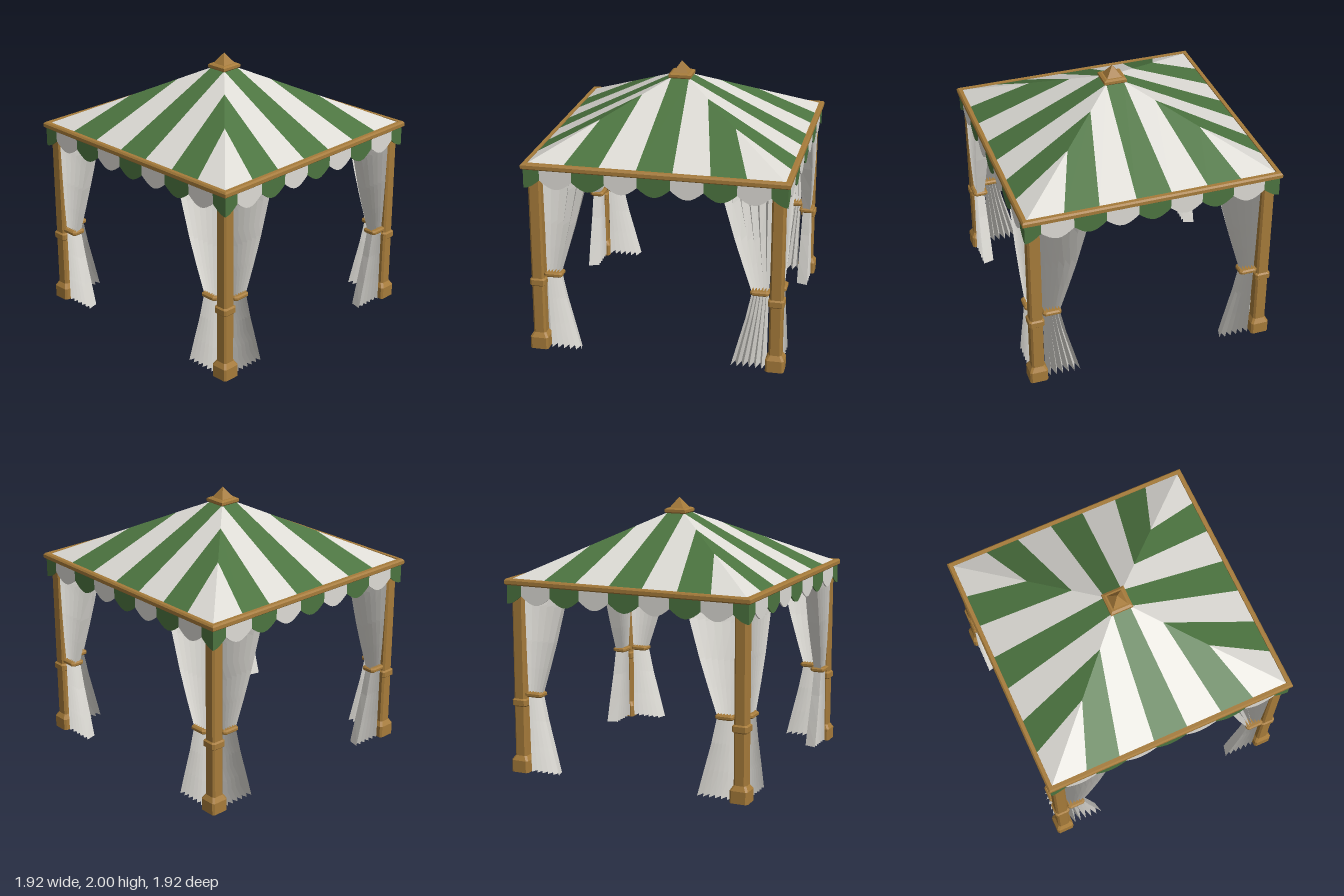
import * as THREE from 'three';

const mat = (name, color, side = THREE.FrontSide) => {
  const m = new THREE.MeshStandardMaterial({ color, side });
  m.name = name;
  return m;
};

// Flat-shaded geometry from a list of quads (each four [x, y, z] corners)
function fromQuads(quads) {
  const pos = [];
  for (const [a, b, c, d] of quads) pos.push(...a, ...b, ...c, ...a, ...c, ...d);
  const g = new THREE.BufferGeometry();
  g.setAttribute('position', new THREE.Float32BufferAttribute(pos, 3));
  g.computeVertexNormals();
  return g;
}

// Stack of rectangular rings [y, halfX, halfZ] with optional corner chamfer
function loft(rings, chamfer = 0) {
  const loops = rings.map(([y, hx, hz = hx]) => {
    const c = Math.min(chamfer, hx, hz);
    const pts = chamfer
      ? [[hx, hz - c], [hx - c, hz], [c - hx, hz], [-hx, hz - c],
         [-hx, c - hz], [c - hx, -hz], [hx - c, -hz], [hx, c - hz]]
      : [[hx, hz], [-hx, hz], [-hx, -hz], [hx, -hz]];
    return pts.map(([x, z]) => [x, y, z]);
  });
  const quads = [];
  for (let i = 0; i < loops.length - 1; i++) {
    const lo = loops[i], hi = loops[i + 1], n = lo.length;
    for (let j = 0; j < n; j++) {
      const k = (j + 1) % n;
      quads.push([lo[j], hi[j], hi[k], lo[k]]);
    }
  }
  return fromQuads(quads);
}

export function createModel() {
  const model = new THREE.Group();
  model.name = 'stripedPavilion';
  const wood = mat('wood', 0xa67b3a);
  const green = mat('greenCloth', 0x4c7440, THREE.DoubleSide);
  const white = mat('whiteCloth', 0xdddbd5, THREE.DoubleSide);

  const add = (parent, name, geometry, material) => {
    const mesh = new THREE.Mesh(geometry, material);
    mesh.name = name;
    parent.add(mesh);
    return mesh;
  };

  // Posts with plinth and collar
  const postGeo = loft([
    [0, 0], [0, 0.068], [0.09, 0.068], [0.125, 0.047], [0.5, 0.047],
    [0.51, 0.058], [0.55, 0.058], [0.56, 0.047], [1.43, 0.047], [1.43, 0],
  ], 0.014);
  for (const x of [-1, 1]) for (const z of [-1, 1]) {
    add(model, 'post', postGeo, wood).position.set(x * 0.876, 0, z * 0.876);
  }

  // Eaves frame: a closed moulding swept round the square
  add(model, 'eavesFrame', loft([
    [1.41, 0.915], [1.41, 0.947], [1.42, 0.96], [1.445, 0.96],
    [1.457, 0.95], [1.457, 0.923], [1.41, 0.915],
  ]), wood);

  // Finial cap and point
  add(model, 'finial', loft([
    [1.88, 0], [1.88, 0.075], [1.89, 0.085], [1.91, 0.085], [1.92, 0.068],
    [1.92, 0.056], [2, 0],
  ]), wood);

  // Roof stripes narrow upward and stop at the hips
  const EAVE = 0.922, TAPER = 0.57;
  const roofY = (s) => 1.92 - 0.51 * s;
  const hip = (a) => {
    const m = Math.abs(a);
    const s = m * (1 - TAPER * EAVE) / (1 - TAPER * m);
    return [Math.sign(a) * s, roofY(s), s];
  };
  const edges = [-EAVE, -0.655, -0.4, -0.13, 0.13, 0.4, 0.655, EAVE];
  const stripes = [[], []];
  for (let i = 0; i < 7; i++) {
    const a = edges[i], b = edges[i + 1];
    stripes[i % 2].push([[a, roofY(EAVE), EAVE], [b, roofY(EAVE), EAVE], hip(b), hip(a)]);
  }
  const roofGeos = stripes.map(fromQuads);

  // Valance scallop from x0 to x1, covering u0..u1 of one arc
  const scallop = (x0, x1, u0, u1) => {
    const s = new THREE.Shape();
    s.moveTo(x1, 1.415);
    s.lineTo(x0, 1.415);
    for (let i = 0; i <= 8; i++) {
      const t = i / 8, u = u0 + (u1 - u0) * t;
      s.lineTo(x0 + (x1 - x0) * t, 1.335 - 0.063 * Math.sin(Math.PI * u));
    }
    return new THREE.ExtrudeGeometry(s, { depth: 0.01, bevelEnabled: false });
  };

  // Pleated curtain rows: y, outer x, inner x, pleat depth
  const rows = [
    [1.41, 0.84, 0.47, 0.055], [1.27, 0.835, 0.5, 0.055], [1, 0.825, 0.575, 0.05],
    [0.8, 0.82, 0.637, 0.042], [0.6, 0.815, 0.7, 0.03], [0.4, 0.81, 0.658, 0.035],
    [0.2, 0.808, 0.605, 0.04], [0.01, 0.805, 0.555, 0.043],
  ];
  const PLEATS = 11;
  const curtain = (sign) => {
    const at = ([y, out, inn, depth], j) =>
      [sign * (out + (inn - out) * j / PLEATS), y, depth * (j % 2 ? 1 : -1)];
    const quads = [];
    for (let i = 0; i < rows.length - 1; i++) for (let j = 0; j < PLEATS; j++) {
      quads.push([at(rows[i], j), at(rows[i], j + 1), at(rows[i + 1], j + 1), at(rows[i + 1], j)]);
    }
    return fromQuads(quads);
  };
  const curtainGeos = [-1, 1].map(curtain);
  const tieGeo = loft([
    [0.582, 0], [0.582, 0.058, 0.045], [0.592, 0.068, 0.056], [0.608, 0.068, 0.056],
    [0.618, 0.058, 0.045], [0.618, 0],
  ], 0.015);

  // Four identical sides: roof slope, valance and a pair of tied curtains
  for (let k = 0; k < 4; k++) {
    const side = new THREE.Group();
    side.name = ['front', 'left', 'back', 'right'][k] + 'Side';
    side.rotation.y = k * Math.PI / 2;
    model.add(side);

    add(side, 'whiteRoofStripes', roofGeos[0], white);
    add(side, 'greenRoofStripes', roofGeos[1], green);

    const W = 0.945, w = W / 4;
    for (let i = 0; i <= 8; i++) {
      const c = -W + i * w;
      const u0 = i === 0 ? 0.5 : 0, u1 = i === 8 ? 0.5 : 1;
      const geo = scallop(c + (u0 - 0.5) * w, c + (u1 - 0.5) * w, u0, u1);
      add(side, 'valanceScallop', geo, i % 2 ? white : green).position.z = 0.935;
    }

    [-1, 1].forEach((s, i) => {
      add(side, 'curtain', curtainGeos[i], white).position.z = 0.876;
      add(side, 'curtainTie', tieGeo, wood).position.set(s * 0.757, 0, 0.876);
    });
  }
  return model;
}
